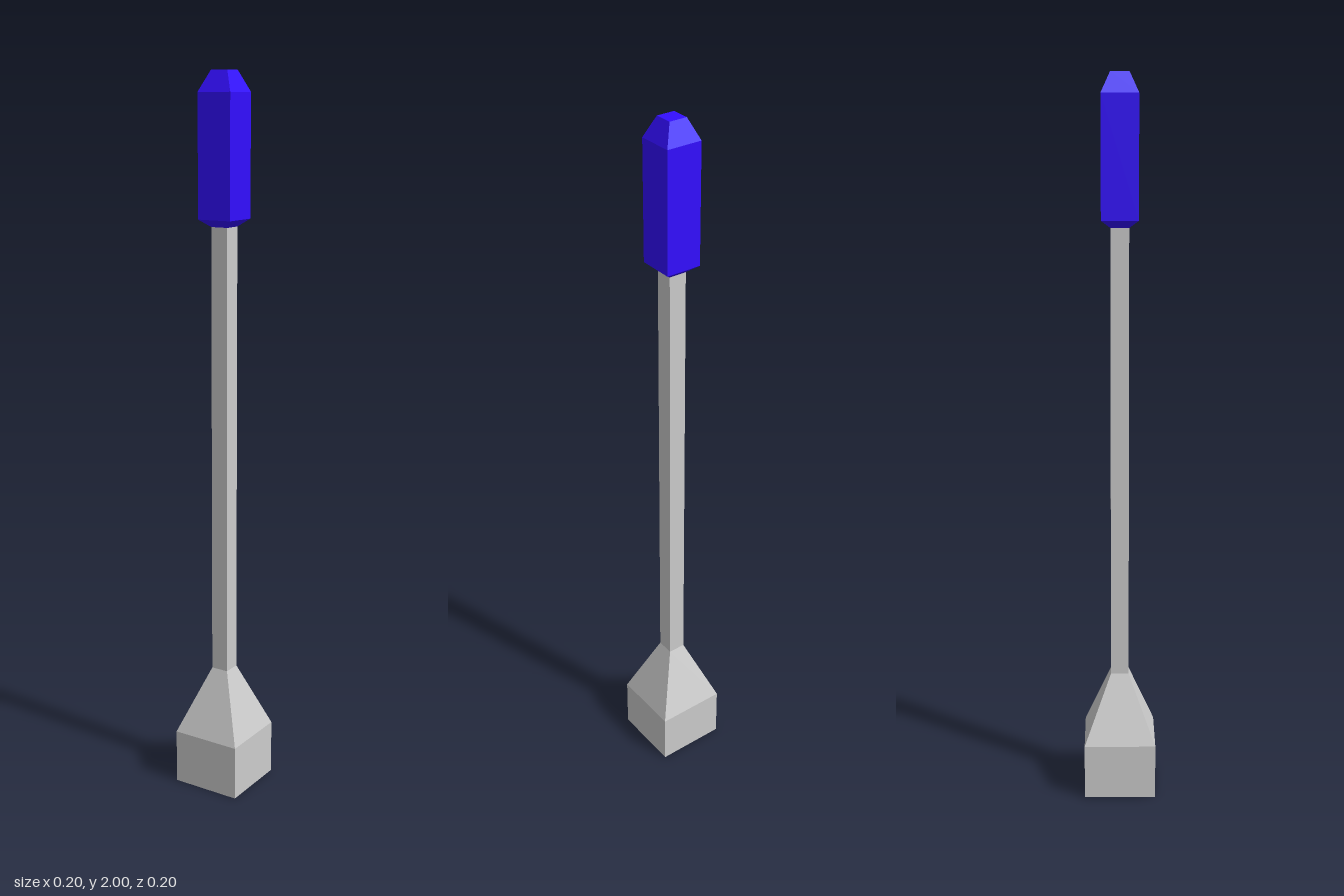
import * as THREE from 'three';

// Square-section solid from [halfWidth, y] pairs, listed bottom to top
function squareSolid(name, profile, color) {
  const points = profile.map(([half, y]) => new THREE.Vector2(half * Math.SQRT2, y));
  const geometry = new THREE.LatheGeometry(points, 4, Math.PI / 4);
  const material = new THREE.MeshStandardMaterial({ color, flatShading: true });
  const mesh = new THREE.Mesh(geometry, material);
  mesh.name = name;
  return mesh;
}

export function createModel() {
  const model = new THREE.Group();
  model.name = 'squareHandledTool';
  const grey = 0xcccccc;

  // Block foot with a tapered shoulder
  model.add(squareSolid('base', [[0, 0], [0.1, 0], [0.1, 0.155], [0.025, 0.345]], grey));

  // Long slim shaft
  model.add(squareSolid('shaft', [[0.025, 0.345], [0.025, 1.6]], grey));

  // Coloured grip, chamfered at both ends
  model.add(squareSolid('grip', [
    [0, 1.6], [0.025, 1.6], [0.05, 1.62], [0.05, 1.945], [0.025, 2], [0, 2],
  ], 0x330eff));

  return model;
}
